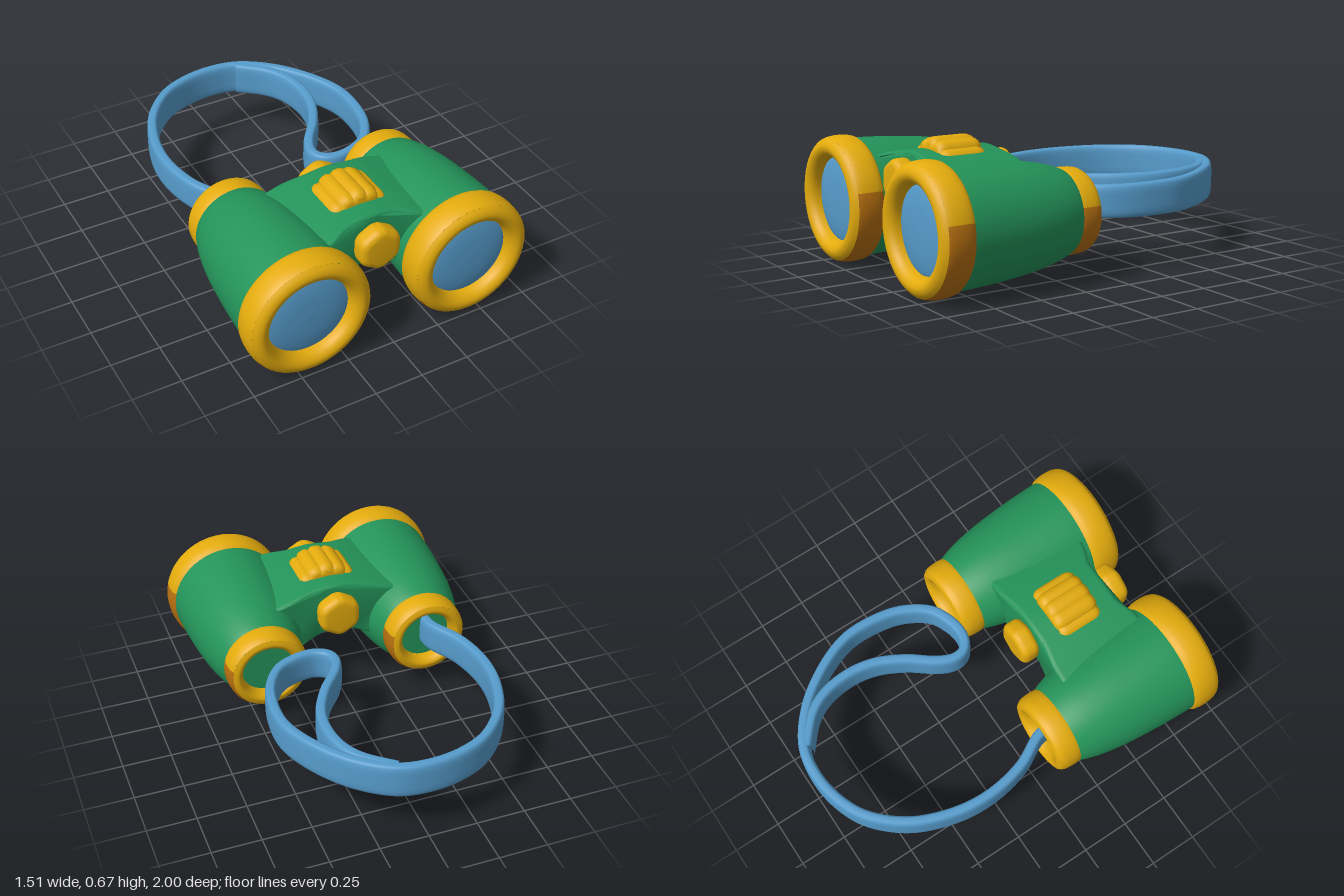
import * as THREE from 'three';
import { toCreasedNormals } from 'three/addons/utils/BufferGeometryUtils.js';

const mat = (name, color) => {
  const m = new THREE.MeshStandardMaterial({ color });
  m.name = name;
  return m;
};

export function createModel() {
  const yellow = mat('yellow', 0xe3ab0d);
  const amber = mat('amber', 0xb87010);
  const green = mat('green', 0x24945a);
  const blue = mat('blue', 0x569ccc);
  const model = new THREE.Group();
  model.name = 'binoculars';

  const add = (parent, name, geometry, material) => {
    const mesh = new THREE.Mesh(geometry, material);
    mesh.name = name;
    parent.add(mesh);
    return mesh;
  };
  const pts = (list) => list.map(([a, b]) => new THREE.Vector2(a, b));
  const smooth = (list, n = 20) => new THREE.SplineCurve(pts(list)).getPoints(n);
  // Turned shape around the z axis; profile points are (radius, z), angle 0 is straight down
  const turn = (points, start = 0, length = Math.PI * 2, segments = 48) =>
    new THREE.LatheGeometry(points, segments, start, length).rotateX(Math.PI / 2);

  // Rubber ring: a darker lower outer wall, the rest yellow
  const a0 = -Math.PI / 3, a1 = Math.PI * 0.58;
  const ring = (parent, name, wall, rest) => {
    const group = new THREE.Group();
    group.name = name;
    add(group, name + 'LowerWall', turn(smooth(wall, 8), a0, a1 - a0, 24), amber);
    add(group, name + 'UpperWall', turn(smooth(wall, 8), a1, Math.PI * 2 + a0 - a1, 32), yellow);
    add(group, name + 'Lip', turn(smooth(rest, 24)), yellow);
    parent.add(group);
  };

  // Two barrels
  for (const side of [1, -1]) {
    const barrel = new THREE.Group();
    barrel.name = side > 0 ? 'leftBarrel' : 'rightBarrel';
    barrel.position.set(side * 0.436, 0.325, 0);
    model.add(barrel);
    add(barrel, 'barrelBody', turn(smooth([
      [0.2, 0.17], [0.222, 0.215], [0.25, 0.31], [0.274, 0.45], [0.291, 0.63], [0.299, 0.78], [0.3, 0.86],
    ], 24)), green);
    add(barrel, 'eyepiece', turn(pts([[0, 0.135], [0.16, 0.135]])), green);
    add(barrel, 'lens', turn(smooth([[0.222, 0.925], [0.2, 0.938], [0.12, 0.952], [0.0, 0.957]], 12)), blue);
    ring(barrel, 'frontRing',
      [[0.297, 0.83], [0.314, 0.85], [0.321, 0.9], [0.317, 0.95], [0.308, 0.974]],
      [[0.308, 0.974], [0.288, 0.992], [0.262, 1.0], [0.236, 0.99], [0.217, 0.965], [0.21, 0.92], [0.212, 0.87]]);
    ring(barrel, 'eyepieceRing',
      [[0.195, 0.078], [0.209, 0.1], [0.214, 0.14], [0.213, 0.185], [0.2, 0.217]],
      [[0.137, 0.16], [0.135, 0.12], [0.143, 0.088], [0.165, 0.07], [0.195, 0.078]]);
  }

  // Bridge with an arched top and underside, flaring where it meets the barrels
  const top = smooth([[0.36, 0.52], [0.26, 0.55], [0.16, 0.577], [0.07, 0.592], [0, 0.597],
    [-0.07, 0.592], [-0.16, 0.577], [-0.26, 0.55], [-0.36, 0.52]], 28);
  const under = smooth([[-0.36, 0.24], [-0.24, 0.27], [-0.14, 0.31], [-0.07, 0.337], [0, 0.342],
    [0.07, 0.337], [0.14, 0.31], [0.24, 0.27], [0.36, 0.24]], 28);
  const bridge = new THREE.ExtrudeGeometry(new THREE.Shape([...top, ...under]), {
    depth: 0.4, bevelThickness: 0.025, bevelSize: 0.016, bevelSegments: 4,
  });
  bridge.translate(0, 0, 0.335);
  const p = bridge.attributes.position;
  for (let i = 0; i < p.count; i++) {
    const flare = THREE.MathUtils.smoothstep(Math.abs(p.getX(i)), 0.1, 0.26);
    p.setZ(i, p.getZ(i) + flare * (p.getZ(i) > 0.53 ? 0.05 : -0.02));
  }
  add(model, 'bridge', toCreasedNormals(bridge, 0.8), green);

  // Ribbed focus wheel set into the bridge
  const rim = [];
  for (let i = 0; i < 112; i++) {
    const a = (i / 112) * Math.PI * 2;
    const r = 0.142 + 0.008 * Math.tanh(2.5 * Math.cos(14 * (a - Math.PI / 2)));
    rim.push(new THREE.Vector2(r * Math.cos(a), r * Math.sin(a)));
  }
  const wheel = new THREE.ExtrudeGeometry(new THREE.Shape(rim), {
    depth: 0.15, bevelThickness: 0.05, bevelSize: 0.033, bevelSegments: 5,
  });
  add(model, 'focusWheel', toCreasedNormals(wheel, 0.8), yellow).position.set(0, 0.488, 0.46);

  // Six-sided rounded knobs at both ends of the bridge
  const hex = new THREE.Shape();
  const corner = (k, r = 0.085) => new THREE.Vector2(-r * Math.sin(k * Math.PI / 3), r * Math.cos(k * Math.PI / 3));
  for (let k = 0; k < 6; k++) {
    const c = corner(k);
    const from = c.clone().lerp(corner(k - 1), 0.25), to = c.clone().lerp(corner(k + 1), 0.25);
    if (k) hex.lineTo(from.x, from.y); else hex.moveTo(from.x, from.y);
    hex.quadraticCurveTo(c.x, c.y, to.x, to.y);
  }
  hex.closePath();
  const knob = toCreasedNormals(new THREE.ExtrudeGeometry(hex, {
    depth: 0.035, bevelThickness: 0.035, bevelSize: 0.034, bevelSegments: 5, curveSegments: 5,
  }), 0.9);
  add(model, 'frontKnob', knob, yellow).position.set(0, 0.47, 0.795);
  add(model, 'backKnob', knob, yellow).position.set(0, 0.47, 0.245);

  // Neck strap: a flat band on edge, swept along a looping path of (x, z)
  const path = new THREE.SplineCurve(pts([
    [-0.44, 0.16], [-0.45, 0.06], [-0.53, -0.1], [-0.568, -0.3], [-0.55, -0.5], [-0.47, -0.71],
    [-0.33, -0.87], [-0.17, -0.948], [0, -0.971], [0.16, -0.94], [0.32, -0.825], [0.44, -0.67],
    [0.52, -0.5], [0.538, -0.35], [0.51, -0.17], [0.43, -0.03], [0.33, 0.03], [0.22, 0.047],
    [0.145, 0.01], [0.13, -0.06], [0.17, -0.15], [0.26, -0.27], [0.33, -0.41], [0.354, -0.55],
    [0.335, -0.7], [0.27, -0.82], [0.14, -0.935],
  ]));
  const N = 200, S = 20, pos = [], idx = [];
  for (let i = 0; i <= N; i++) {
    const c = path.getPointAt(i / N), t = path.getTangentAt(i / N);
    const half = 0.083 - 0.009 * c.y;
    for (let j = 0; j < S; j++) {
      const a = ((j + 0.5) / S) * Math.PI * 2, ca = Math.cos(a), sa = Math.sin(a);
      const u = Math.sign(ca) * Math.abs(ca) ** 0.5 * 0.029;
      const v = Math.sign(sa) * Math.abs(sa) ** 0.5 * half;
      pos.push(c.x + t.y * u, 0.268 + half + v, c.y - t.x * u);
      if (i < N) {
        const q = i * S + j, r = i * S + ((j + 1) % S);
        idx.push(q, r, r + S, q, r + S, q + S);
      }
    }
  }
  const strap = new THREE.BufferGeometry();
  strap.setAttribute('position', new THREE.Float32BufferAttribute(pos, 3));
  strap.setIndex(idx);
  strap.computeVertexNormals();
  add(model, 'neckStrap', strap, blue);

  return model;
}
